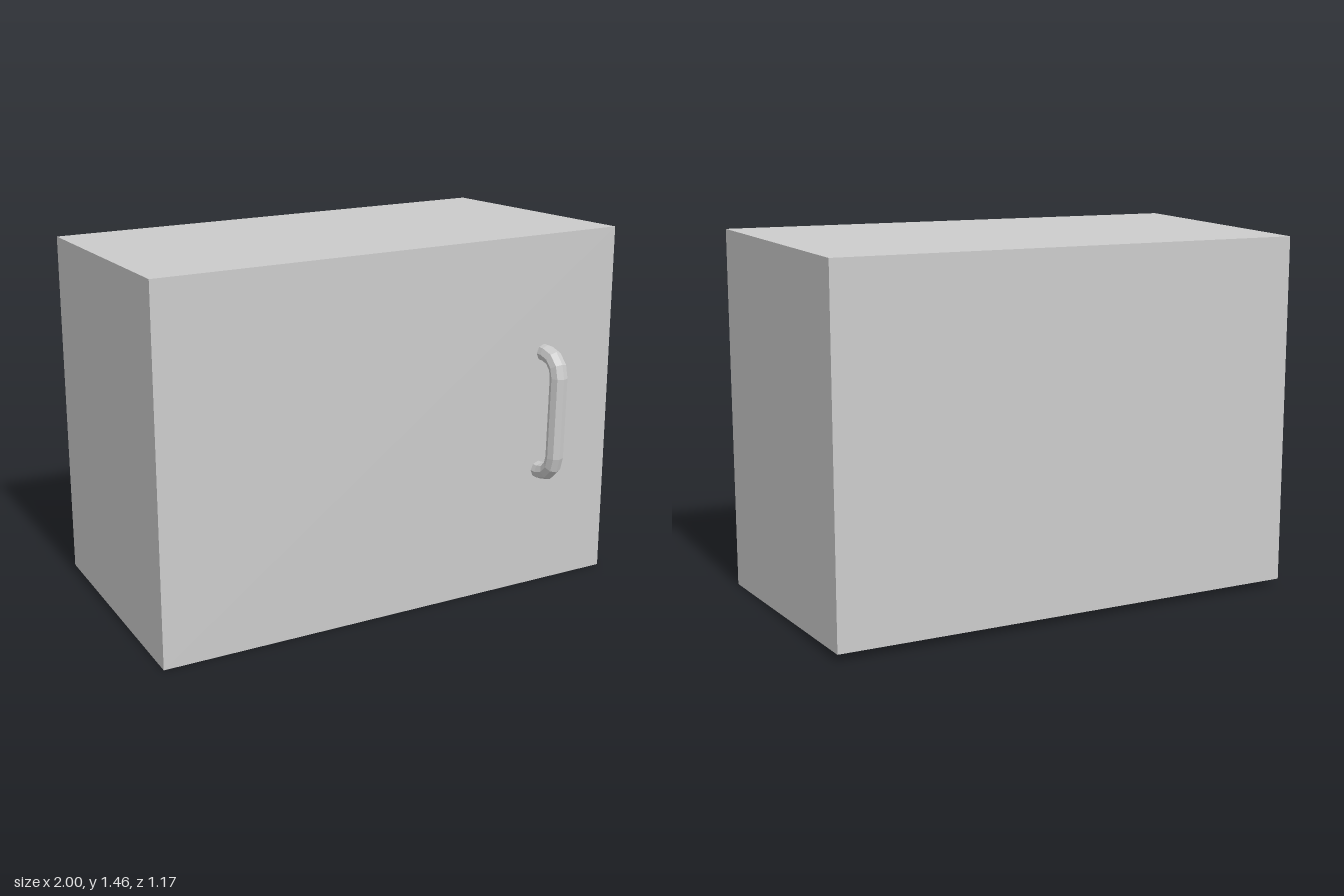
import * as THREE from 'three';

const material = new THREE.MeshStandardMaterial({ color: 0xcccccc, flatShading: true });

// Box whose rear face is slightly smaller than the front
function makeBody() {
  const height = 1.456, depth = 1.03;
  const geo = new THREE.BoxGeometry(2, height, depth);
  const p = geo.attributes.position;
  for (let i = 0; i < p.count; i++) {
    if (p.getZ(i) < 0) p.setXY(i, p.getX(i) * 0.963, p.getY(i) * 0.962);
  }
  geo.translate(0, height / 2, -0.07);
  geo.computeVertexNormals();
  const mesh = new THREE.Mesh(geo, material);
  mesh.name = 'cabinetBody';
  return mesh;
}

// Octagonal bar bent into a U, leaning slightly to one side
function makeHandle() {
  const radius = 0.035, bend = 0.08, midY = 0.735, halfStraight = 0.165, bendZ = 0.468;
  const rings = [{ y: midY + halfStraight + bend, z: 0.435, angle: Math.PI / 2 }];
  for (const side of [1, -1]) {
    for (let k = 0; k <= 3; k++) {
      const angle = (side > 0 ? 3 - k : -k) * Math.PI / 6;
      rings.push({
        y: midY + side * halfStraight + bend * Math.sin(angle),
        z: bendZ + bend * Math.cos(angle),
        angle,
      });
    }
  }
  rings.push({ y: midY - halfStraight - bend, z: 0.435, angle: -Math.PI / 2 });

  // Wrap a straight tube around the bent path
  const n = rings.length - 1;
  const geo = new THREE.CylinderGeometry(radius, radius, 1, 8, n, true);
  const p = geo.attributes.position;
  for (let i = 0; i < p.count; i++) {
    const ring = rings[Math.round((0.5 - p.getY(i)) * n)];
    const out = p.getZ(i);
    const y = ring.y + out * Math.sin(ring.angle);
    const z = ring.z + out * Math.cos(ring.angle);
    p.setXYZ(i, 0.667 + p.getX(i) + (y - midY) * 0.015, y, z);
  }
  geo.computeVertexNormals();
  const mesh = new THREE.Mesh(geo, material);
  mesh.name = 'doorHandle';
  return mesh;
}

export function createModel() {
  const group = new THREE.Group();
  group.name = 'cabinet';
  group.add(makeBody(), makeHandle());
  return group;
}
